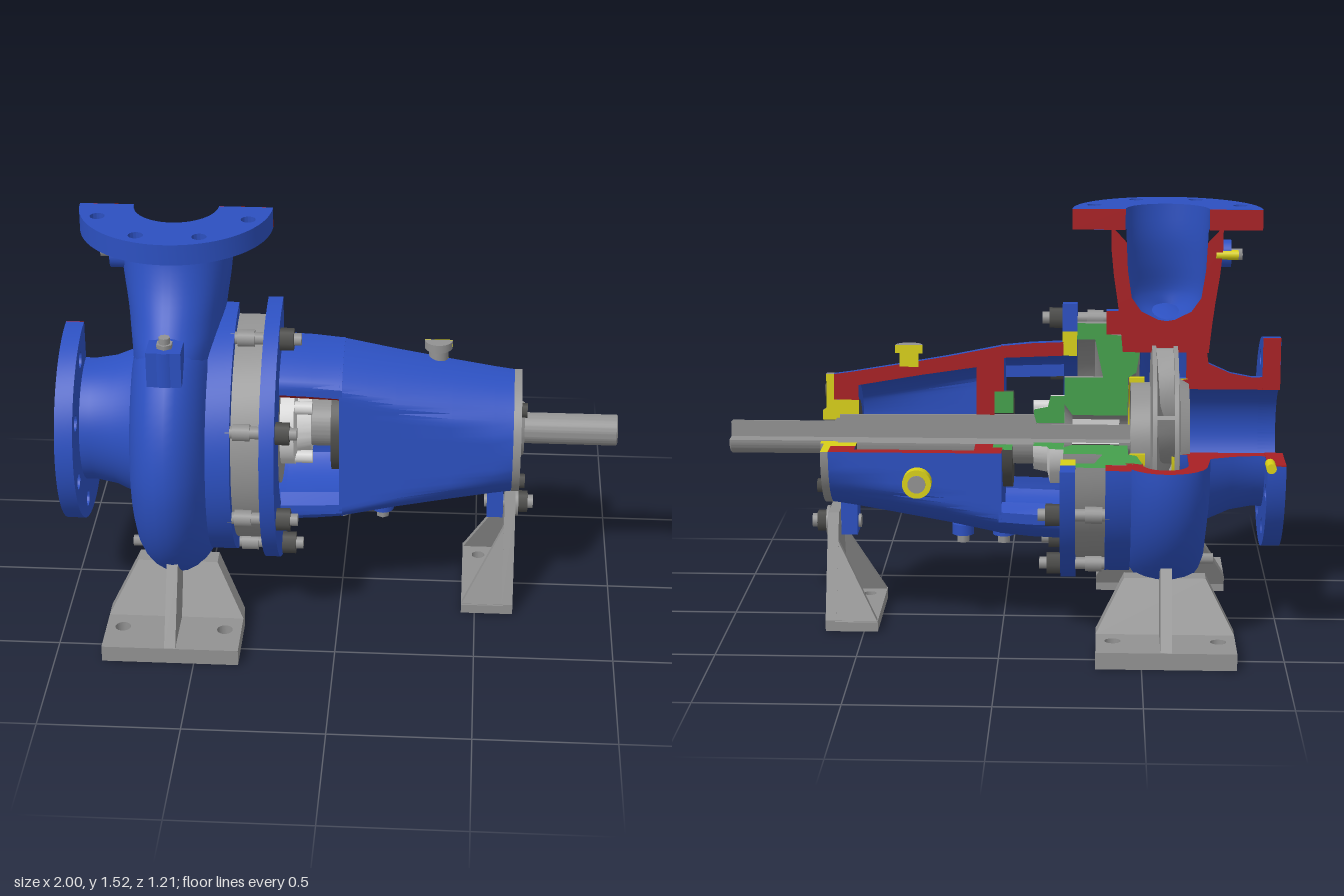
import * as THREE from 'three';
import { toCreasedNormals } from 'three/addons/utils/BufferGeometryUtils.js';

const CY = 0.675;   // shaft axis height
const CX = -0.585;  // discharge nozzle centre
const H = Math.PI / 2;

const mat = (name, color, side = THREE.FrontSide) =>
  Object.assign(new THREE.MeshStandardMaterial({ color, side }), { name });

export function createModel() {
  const blue = mat('blue paint', 0x2c50c0), gray = mat('gray metal', 0x929292);
  const dark = mat('dark steel', 0x4c4c4a), light = mat('light metal', 0xd2d2d2);
  const red = mat('red section', 0xa82024), green = mat('green section', 0x45a04c);
  const yellow = mat('yellow section', 0xd8d018);
  const model = new THREE.Group();
  model.name = 'cutawayPump';

  const add = (name, geo, m, x = 0, y = 0, z = 0, parent = model) => {
    const mesh = new THREE.Mesh(geo, m);
    mesh.name = name;
    mesh.position.set(x, y, z);
    parent.add(mesh);
    return mesh;
  };
  const box = (name, w, h, d, m, x, y, z) => add(name, new THREE.BoxGeometry(w, h, d), m, x, y, z);
  const cyl = (name, r, len, axis, m, x, y, z, sides = 24) => {
    const g = new THREE.CylinderGeometry(r, r, len, sides);
    if (axis === 'x') g.rotateZ(-H);
    if (axis === 'z') g.rotateX(H);
    return add(name, g, m, x, y, z);
  };
  const shapeOf = pts => new THREE.Shape(pts.map(p => new THREE.Vector2(p[0], p[1])));
  const extrude = (shape, depth) =>
    new THREE.ExtrudeGeometry(shape, { depth, bevelEnabled: false, curveSegments: 32 });

  // Closed [x, radius] profile turned about the shaft axis, with faces on the cut ends.
  // By default the upper back quarter is left open.
  function revolve(name, pts, m, capMat, { start = -H, length = 3 * H, warp } = {}) {
    const p = pts.map(q => new THREE.Vector2(q[1], q[0]));
    if (THREE.ShapeUtils.area(pts.map(q => new THREE.Vector2(q[0], q[1]))) > 0) p.reverse();
    p.push(p[0].clone());
    const body = new THREE.LatheGeometry(p, Math.ceil(length * 14), start, length).rotateZ(-H);
    const geos = [[name, body, m]];
    if (length < 6.2) {
      const a = new THREE.ShapeGeometry(shapeOf(pts.map(q => [q[0], -q[1]]))).rotateX(start + H + Math.PI);
      const b = new THREE.ShapeGeometry(shapeOf(pts)).rotateX(start + length + H);
      geos.push([name + 'SectionUpper', a, capMat], [name + 'SectionSide', b, capMat]);
    }
    const v = new THREE.Vector3();
    for (const [n, g, mm] of geos) {
      const pos = g.attributes.position;
      if (warp) for (let i = 0; i < pos.count; i++) {
        v.fromBufferAttribute(pos, i);
        warp(v);
        pos.setXYZ(i, v.x, v.y, v.z);
      }
      add(n, toCreasedNormals(g, 0.6), mm, 0, CY, 0);
    }
  }
  const ring = (name, x0, x1, r0, r1, m, cap, opt) =>
    revolve(name, [[x0, r0], [x0, r1], [x1, r1], [x1, r0]], m, cap, opt);

  const lerpTable = (t, x) => {
    for (let i = 1; i < t.length; i++) if (x <= t[i][0]) {
      const [a, b] = [t[i - 1], t[i]];
      return a[1] + (b[1] - a[1]) * Math.max(0, (x - a[0]) / (b[0] - a[0]));
    }
    return t[t.length - 1][1];
  };

  // Spiral casing with suction pipe
  const arc = (cx, cr, rx, ry, dir) => Array.from({ length: 13 }, (_, i) => {
    const t = Math.PI * i / 12;
    return [cx - dir * rx * Math.cos(t), cr + ry * Math.sin(t)];
  });
  const spiral = [[-180, 1], [-90, 1.16], [0, 1.5], [50, 1.55], [65, 1], [90, 0.4]];
  revolve('spiralCasing', [[-1, 0.24], [-0.9, 0.235], [-0.82, 0.25], [-0.74, 0.285], ...arc(CX, 0.38, 0.143, 0.14, 1),
    [-0.44, 0.36], [-0.5, 0.36], ...arc(-0.58, 0.38, 0.08, 0.08, -1), [-0.66, 0.23], [-0.62, 0.23], [-0.62, 0.19], [-1, 0.19]],
  blue, red, { warp: v => {
    const r = Math.hypot(v.y, v.z);
    if (r < 0.361) return;
    let deg = Math.atan2(v.y, v.z) * 180 / Math.PI;
    if (deg > 120) deg -= 360;
    const s = (0.36 + (r - 0.36) * lerpTable(spiral, deg)) / r;
    v.y *= s; v.z *= s;
  } });
  ring('casingFlange', -0.46, -0.37, 0.39, 0.475, blue, red);

  // Sector flange with bolt holes
  function flange(R, bore, depth, a0, a1, boltR, holeR) {
    const s = new THREE.Shape();
    s.absarc(0, 0, R, a0, a1, false);
    s.absarc(0, 0, bore, a1, a0, true);
    for (let k = 0; k < 8; k++) {
      const a = (k + 0.5) * Math.PI / 4;
      if (a > a0 && a < a1) s.holes.push(new THREE.Path().absarc(boltR * Math.cos(a), boltR * Math.sin(a), holeR, 0, 2 * Math.PI, true));
    }
    return toCreasedNormals(extrude(s, depth), 0.6);
  }
  add('suctionFlange', flange(0.38, 0.19, 0.065, H, 4 * H, 0.31, 0.03).rotateY(H), blue, -1, CY, 0);
  box('suctionFlangeSection', 0.064, 0.19, 0.004, red, -0.9675, CY + 0.285, 0);
  box('suctionFlangeSection', 0.064, 0.004, 0.19, red, -0.9675, CY, -0.285);
  cyl('suctionPlug', 0.018, 0.08, 'z', yellow, -0.945, CY, -0.385, 12);
  add('dischargeFlange', flange(0.34, 0.15, 0.075, 0, Math.PI, 0.285, 0.026).rotateX(H), blue, CX, 1.52, 0);
  for (const s of [-1, 1]) box('dischargeFlangeSection', 0.19, 0.074, 0.004, red, CX + s * 0.245, 1.4825, 0);

  // Discharge nozzle: half elliptical sections [y, half width, depth]
  const outer = [[1.46, 0.2, 0.2], [1.38, 0.2, 0.215], [1.28, 0.19, 0.26], [1.18, 0.175, 0.34], [1.1, 0.165, 0.43], [1, 0.155, 0.5], [0.85, 0.145, 0.52]];
  const bore = [[1.52, 0.15, 0.15], [1.4, 0.145, 0.15], [1.3, 0.14, 0.17], [1.2, 0.125, 0.2], [1.15, 0.09, 0.2], [1.12, 0.03, 0.2], [1.115, 0, 0.2]];
  function halfTube(name, levels, inward) {
    const curve = new THREE.CatmullRomCurve3(levels.map(l => new THREE.Vector3(l[1], l[0], l[2])));
    const N = 24, pos = [], idx = [];
    for (let i = 0; i <= N; i++) {
      const c = curve.getPoint(i / N);
      for (let j = 0; j <= N; j++) {
        const t = Math.PI * j / N;
        pos.push(CX + c.x * Math.cos(t), c.y, c.z * Math.sin(t));
        if (i === N || j === N) continue;
        const p = i * (N + 1) + j, r = p + 1, b = p + N + 1;
        idx.push(...(inward ? [p, b, r, r, b, b + 1] : [p, r, b, r, b + 1, b]));
      }
    }
    const g = new THREE.BufferGeometry();
    g.setAttribute('position', new THREE.Float32BufferAttribute(pos, 3));
    g.setIndex(idx);
    g.computeVertexNormals();
    add(name, g, blue);
  }
  halfTube('dischargeNozzle', outer, false);
  halfTube('dischargeBore', bore, true);
  const side = (t, s) => t.map(l => [CX + s * l[1], l[0]]);
  const wall = [...side(outer.slice(0, 6), 1), ...side(outer.slice(0, 6), -1).reverse(), ...side(bore.slice(1), -1), ...side(bore.slice(1, 6), 1).reverse()];
  add('nozzleSection', new THREE.ShapeGeometry(shapeOf(wall.map(p => [p[0], -p[1]]))).rotateX(Math.PI), red, 0, 0, -0.001);

  // Bosses and plugs on the casing
  box('ventBoss', 0.12, 0.13, 0.1, blue, CX, 1.115, 0.43);
  cyl('ventBossEnd', 0.06, 0.13, 'y', blue, CX, 1.115, 0.425);
  cyl('ventPlug', 0.03, 0.015, 'y', gray, CX, 1.188, 0.43, 6);
  cyl('ventPlugHead', 0.02, 0.035, 'y', gray, CX, 1.2, 0.43, 8);
  cyl('gaugeBoss', 0.05, 0.06, 'x', blue, -0.785, 1.355, 0.052);
  cyl('gaugePlug', 0.022, 0.05, 'x', gray, -0.83, 1.355, 0.03, 6);
  cyl('gaugePlugSection', 0.018, 0.08, 'x', yellow, -0.8, 1.355, 0.012, 12);
  cyl('drainPlug', 0.02, 0.06, 'x', gray, -0.745, 0.2, 0.1, 6);

  // Seal cover, gland and wear rings
  revolve('sealCover', [[-0.5, 0.38], [-0.37, 0.39], [-0.37, 0.43], [-0.265, 0.43], [-0.265, 0.37], [-0.33, 0.37], [-0.36, 0.23],
    [-0.22, 0.23], [-0.22, 0.13], [-0.25, 0.09], [-0.45, 0.09], [-0.45, 0.23], [-0.48, 0.25]], gray, green);
  revolve('sealGland', [[-0.22, 0.06], [-0.22, 0.16], [-0.17, 0.16], [-0.16, 0.12], [-0.11, 0.11], [-0.11, 0.06]], light, green);
  for (const s of [-1, 1]) cyl('glandBolt', 0.025, 0.07, 'x', light, -0.14, CY + s * 0.1, 0.09, 8);
  ring('mechanicalSeal', -0.42, -0.25, 0.055, 0.075, dark, light);
  ring('frontWearRing', -0.665, -0.605, 0.213, 0.23, yellow, yellow);
  ring('rearWearRing', -0.51, -0.455, 0.213, 0.23, yellow, yellow);

  // Impeller: two shrouds and swept vanes, left whole
  const whole = { start: 0, length: 4 * H };
  revolve('impellerFrontShroud', [[-0.67, 0.19], [-0.67, 0.21], [-0.635, 0.23], [-0.628, 0.35], [-0.612, 0.35], [-0.615, 0.25], [-0.635, 0.19]], gray, gray, whole);
  revolve('impellerBackShroud', [[-0.55, 0.35], [-0.535, 0.35], [-0.53, 0.21], [-0.46, 0.21], [-0.46, 0.19], [-0.52, 0.19], [-0.52, 0.08],
    [-0.46, 0.075], [-0.46, 0.055], [-0.63, 0.055], [-0.61, 0.09], [-0.565, 0.2]], gray, gray, whole);
  ring('impellerRecess', -0.519, -0.515, 0.08, 0.189, dark, dark, whole);
  for (let k = 0; k < 6; k++) {
    const vane = new THREE.BoxGeometry(0.075, 0.26, 0.014, 1, 8, 1), p = vane.attributes.position;
    for (let i = 0; i < p.count; i++) {
      const r = p.getY(i) + 0.215, a = k * Math.PI / 3 + (r - 0.1) * 4, z = p.getZ(i);
      p.setXYZ(i, p.getX(i), r * Math.cos(a) - z * Math.sin(a), r * Math.sin(a) + z * Math.cos(a));
    }
    vane.computeVertexNormals();
    add('impellerVane', vane, gray, -0.585, CY, 0);
  }

  // Shaft
  revolve('shaft', [[-0.64, 0], [-0.64, 0.055], [-0.12, 0.055], [-0.11, 0.09], [0.03, 0.09], [0.6, 0.085], [0.62, 0.06], [0.995, 0.06], [1, 0.055], [1, 0]], gray, gray);

  // Bearing bracket: tapered barrel with flattened sides and two arms
  const profile = [[-0.215, 0.36], [-0.1, 0.355], [0, 0.345], [0.1, 0.325], [0.2, 0.305], [0.4, 0.27], [0.55, 0.245], [0.62, 0.235]];
  const flatten = v => {
    const lim = Math.hypot(v.y, v.z) < lerpTable(profile, v.x) - 0.03 ? 0.19 : 0.235;
    v.z = THREE.MathUtils.clamp(v.z, -lim, lim);
  };
  revolve('bearingBracket', [...profile.slice(2), [0.62, 0.14], [0.53, 0.14], [0.53, 0.195], [0.3, 0.235], [0.1, 0.265], [0.1, 0.14], [0, 0.14]], blue, red, { warp: flatten });
  const armProfile = [...profile.slice(0, 3), [0.01, 0.345], [0.01, 0.3], [-0.215, 0.31]];
  const w = 0.68;
  revolve('upperBracketArm', armProfile, blue, red, { start: -H, length: H - w, warp: flatten });
  revolve('lowerBracketArm', armProfile, blue, blue, { start: w, length: 2 * H - 2 * w, warp: flatten });
  ring('bracketFlangeInner', -0.265, -0.212, 0.31, 0.4, blue, yellow);
  ring('bracketFlange', -0.265, -0.212, 0.4, 0.5, blue, blue);

  // Bearings and covers
  ring('innerBearingCover', -0.035, 0.035, 0.095, 0.175, dark, green);
  ring('innerBearing', 0.035, 0.1, 0.087, 0.14, dark, red);
  ring('outerBearing', 0.53, 0.6, 0.087, 0.14, dark, yellow);
  revolve('endCover', [[0.6, 0.065], [0.6, 0.139], [0.62, 0.14], [0.62, 0.236], [0.648, 0.236], [0.648, 0.11], [0.662, 0.1], [0.662, 0.065]], gray, yellow);
  for (const [y, z] of [[1, 1], [-1, 1], [-1, -1]])
    cyl('endCoverBolt', 0.026, 0.022, 'x', dark, 0.657, CY + y * 0.145, z * 0.145, 6);

  // Flange studs with nuts, none in the open quarter
  for (let k = 0; k < 8; k++) {
    const a = (k + 0.5) * Math.PI / 4, y = CY + 0.453 * Math.sin(a), z = 0.453 * Math.cos(a);
    if (y > CY && z < 0) continue;
    cyl('stud', 0.022, 0.25, 'x', gray, -0.26, y, z, 16);
    cyl('studCollar', 0.03, 0.06, 'x', gray, -0.33, y, z, 16);
    cyl('nut', 0.04, 0.05, 'x', dark, -0.186, y, z, 6);
  }

  // Bracket plugs and oil sight glass
  for (const x of [0, 0.15]) {
    cyl('oilDrainBoss', 0.04, 0.04, 'y', blue, x, 0.335, 0);
    cyl('oilDrainPlug', 0.025, 0.035, 'y', gray, x, 0.303, 0, 6);
  }
  for (const [r, h, y] of [[0.035, 0.06, 0.97], [0.05, 0.03, 1.005]]) {
    add('fillerPlug', new THREE.CylinderGeometry(r, r, h, 12, 1, false, -H, Math.PI), gray, 0.345, y, 0);
    box('fillerPlugSection', 2 * r, h, 0.004, yellow, 0.345, y, 0);
  }
  cyl('sightGlassRim', 0.052, 0.05, 'z', yellow, 0.3, 0.57, -0.255);
  cyl('sightGlass', 0.032, 0.006, 'z', gray, 0.3, 0.57, -0.281);

  // Casing feet, mirrored front to back
  for (const s of [1, -1]) {
    const foot = new THREE.Group();
    foot.name = s > 0 ? 'frontFoot' : 'backFoot';
    foot.scale.z = s;
    model.add(foot);
    const base = shapeOf([[-0.83, 0.34], [-0.34, 0.34], [-0.34, 0.605], [-0.83, 0.605]]);
    for (const x of [-0.77, -0.4]) base.holes.push(new THREE.Path().absarc(x, 0.47, 0.028, 0, 2 * Math.PI, true));
    add('footBase', extrude(base, 0.06).rotateX(H), gray, 0, 0.06, 0, foot);
    const web = extrude(shapeOf([[-0.83, 0], [-0.34, 0], [-0.34, 0.06], [-0.44, 0.24], [-0.73, 0.24], [-0.83, 0.06]]), 0.07);
    const p = web.attributes.position;
    for (let i = 0; i < p.count; i++) p.setZ(i, p.getZ(i) + 0.355 - 0.52 * p.getY(i));
    web.computeVertexNormals();
    add('footWeb', web, gray, 0, 0, 0, foot);
    const rib = extrude(shapeOf([[-0.6, 0.06], [-0.45, 0.32], [-0.25, 0.24], [-0.36, 0.04]]), 0.04).rotateY(H);
    add('footRib', rib, gray, -0.605, 0, 0, foot);
  }

  // Support foot under the bracket
  const sole = shapeOf([[0.45, -0.215], [0.64, -0.215], [0.64, 0.215], [0.45, 0.215]]);
  for (const z of [-0.13, 0.13]) sole.holes.push(new THREE.Path().absarc(0.51, z, 0.024, 0, 2 * Math.PI, true));
  add('supportBase', extrude(sole, 0.04).rotateX(H), gray, 0, 0.04, 0);
  add('supportPlate', extrude(shapeOf([[-0.215, 0], [0.215, 0], [0.215, 0.04], [0.08, 0.41], [-0.08, 0.41], [-0.215, 0.04]]), 0.04).rotateY(H), gray, 0.6, 0, 0);
  for (const s of [1, -1]) {
    const g = extrude(shapeOf([[0.45, 0.035], [0.605, 0.035], [0.605, 0.32]]), 0.025), p = g.attributes.position;
    for (let i = 0; i < p.count; i++) p.setZ(i, p.getZ(i) - 0.0125 + s * (0.202 - 0.365 * (p.getY(i) - 0.04)));
    g.computeVertexNormals();
    add('supportGusset', g, gray);
  }
  box('supportLug', 0.06, 0.14, 0.11, blue, 0.565, 0.39, 0);
  cyl('supportBolt', 0.025, 0.18, 'x', gray, 0.615, 0.36, 0, 16);
  cyl('supportWasher', 0.055, 0.012, 'x', gray, 0.645, 0.36, 0);
  cyl('supportNut', 0.04, 0.035, 'x', dark, 0.668, 0.36, 0, 6);
  return model;
}
